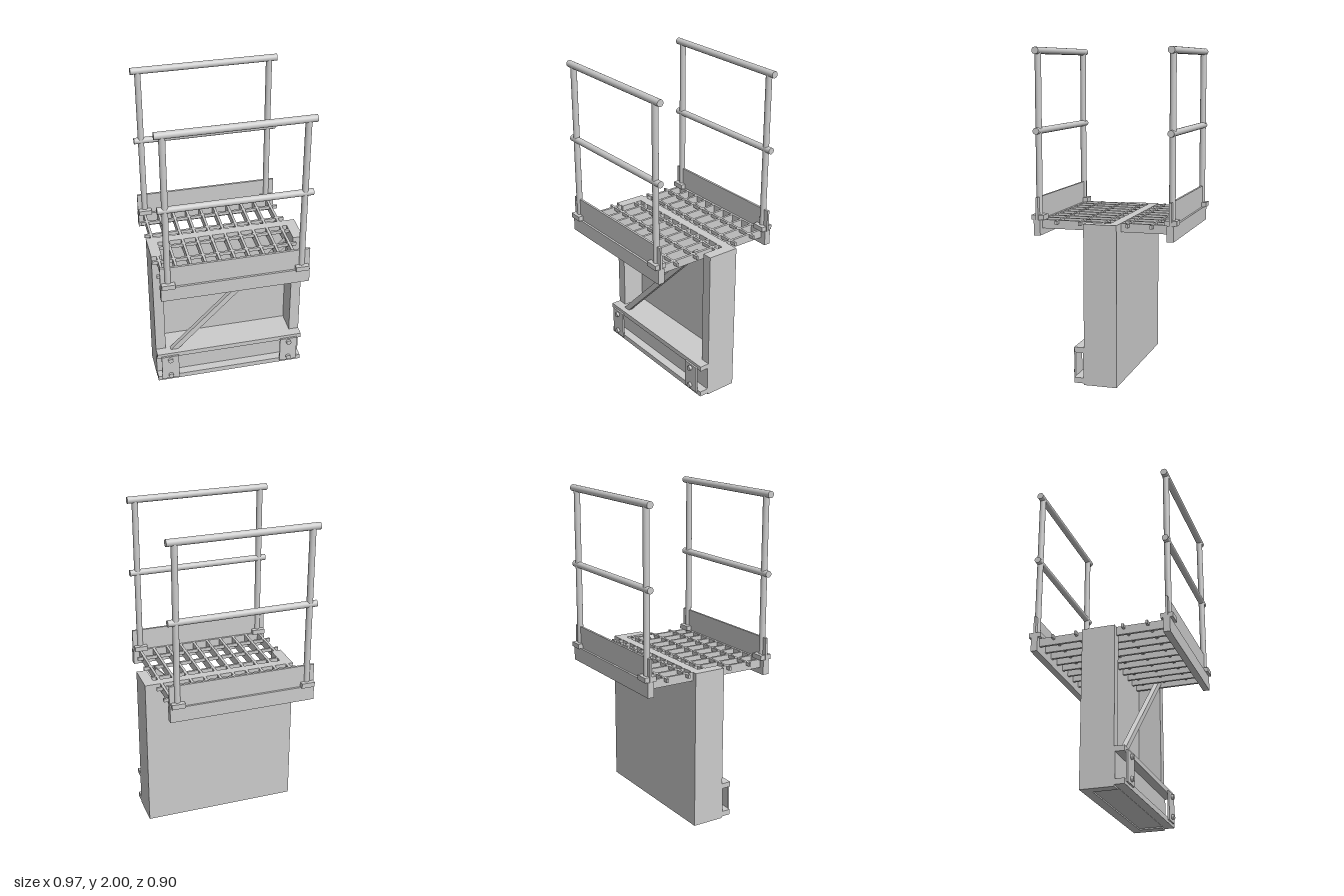
import * as THREE from 'three';

const material = new THREE.MeshStandardMaterial({ color: 0xcccccc });

export function createModel() {
  const model = new THREE.Group();

  const add = (parent, name, geometry) => {
    const mesh = new THREE.Mesh(geometry, material);
    mesh.name = name;
    parent.add(mesh);
    return mesh;
  };
  const group = (name) => {
    const g = new THREE.Group();
    g.name = name;
    model.add(g);
    return g;
  };
  // Box given by its extents on each axis
  const box = (parent, name, x0, x1, y0, y1, z0, z1) =>
    add(parent, name, new THREE.BoxGeometry(x1 - x0, y1 - y0, z1 - z0))
      .position.set((x0 + x1) / 2, (y0 + y1) / 2, (z0 + z1) / 2);
  // Round bar centred at a point, along x, y or z
  const bar = (parent, name, axis, radius, length, x, y, z, sides = 24) => {
    const g = new THREE.CylinderGeometry(radius, radius, length, sides);
    if (axis === 'x') g.rotateZ(Math.PI / 2);
    if (axis === 'z') g.rotateX(Math.PI / 2);
    add(parent, name, g).position.set(x, y, z);
  };

  // Supporting frame: back wall, two side posts and a base, open at the top
  const frame = group('supportFrame');
  box(frame, 'backWall', -0.485, 0.485, 0, 0.975, -0.105, -0.048);
  box(frame, 'rightPost', -0.485, -0.42, 0, 0.975, -0.048, 0.097);
  box(frame, 'leftPost', 0.42, 0.485, 0, 0.975, -0.048, 0.097);
  box(frame, 'base', -0.42, 0.42, 0.008, 0.23, -0.048, 0.1);

  // Diagonal brace across the opening
  const braceShape = new THREE.Shape([
    new THREE.Vector2(-0.39, 0.23), new THREE.Vector2(-0.34, 0.23),
    new THREE.Vector2(0.372, 0.942), new THREE.Vector2(0.362, 0.983),
  ]);
  add(frame, 'diagonalBrace', new THREE.ExtrudeGeometry(braceShape, { depth: 0.031, bevelEnabled: false }))
    .position.z = 0.091;

  // Forward-opening channel at the foot, with bolted plates over the flanges
  const channel = group('footChannel');
  box(channel, 'channelWeb', -0.485, 0.485, 0.01, 0.23, 0.09, 0.102);
  box(channel, 'upperFlange', -0.485, 0.485, 0.198, 0.23, 0.1, 0.158);
  box(channel, 'lowerFlange', -0.485, 0.485, 0.01, 0.043, 0.1, 0.158);
  for (const x of [-0.403, 0.398]) {
    box(channel, 'boltPlate', x - 0.057, x + 0.057, 0.028, 0.21, 0.158, 0.169);
    for (const y of [0.058, 0.185]) bar(channel, 'bolt', 'z', 0.016, 0.017, x, y, 0.177, 16);
  }

  // Walkway grating
  const grating = group('grating');
  for (let i = 0; i < 10; i++) {
    const x = -0.445 + i * 0.0917;
    box(grating, 'bearingBar', x - 0.008, x + 0.008, 0.922, 0.975, -0.392, 0.392);
  }
  for (let i = -2; i <= 2; i++) {
    const z = -0.003 + i * 0.1465;
    box(grating, 'crossBar', -0.485, 0.425, 0.953, 0.975, z - 0.007, z + 0.007);
  }

  // Edge beam, toe board and handrail on both sides
  for (const side of [1, -1]) {
    const rail = group(side > 0 ? 'frontRailing' : 'backRailing');
    const slab = (name, x0, x1, y0, y1, za, zb) =>
      box(rail, name, x0, x1, y0, y1, Math.min(za * side, zb * side), Math.max(za * side, zb * side));
    slab('edgeBeam', -0.485, 0.425, 0.882, 0.975, 0.39, 0.431);
    slab('toeBoard', -0.485, 0.425, 0.975, 1.112, 0.404, 0.418);
    for (const x of [-0.44, 0.376]) {
      slab('postFoot', x - 0.041, x + 0.041, 0.975, 1.005, 0.372, 0.448);
      bar(rail, 'railPost', 'y', 0.019, 0.98, x, 1.49, 0.411 * side);
    }
    bar(rail, 'middleRail', 'x', 0.02, 0.91, -0.03, 1.507, 0.411 * side);
    bar(rail, 'topRail', 'x', 0.021, 0.91, -0.03, 1.979, 0.411 * side);
  }

  return model;
}
